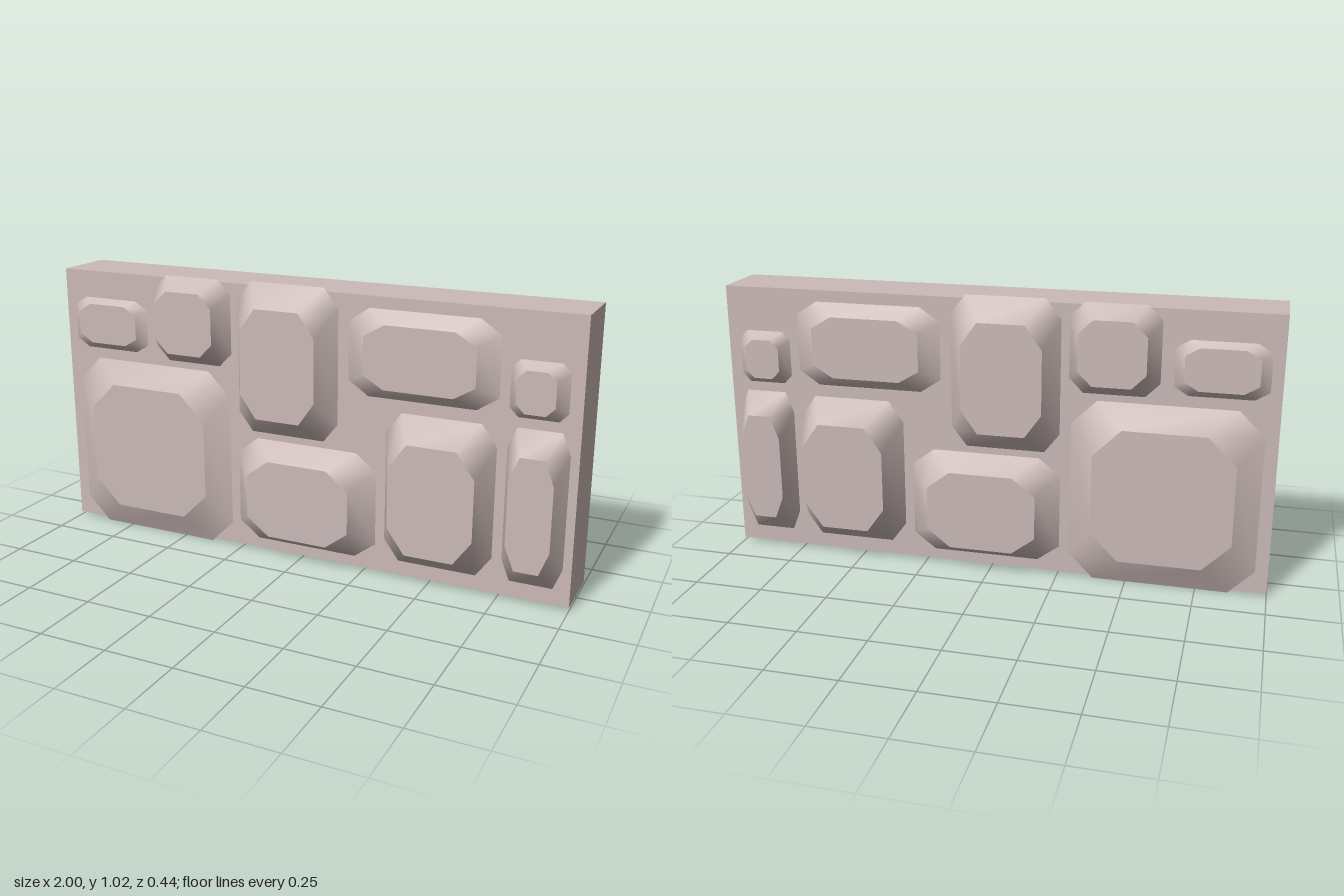
import * as THREE from 'three';

const FACE = 0.113; // half thickness of the slab

// Eight corners of a chamfered rectangle, anticlockwise from the front
function octagon([x0, x1, y0, y1, cx, cy]) {
  return [
    [x0 + cx, y0], [x1 - cx, y0], [x1, y0 + cy], [x1, y1 - cy],
    [x1 - cx, y1], [x0 + cx, y1], [x0, y1 - cy], [x0, y0 + cy],
  ];
}

// Sloped stone: smooth bevelled rim plus a flat cap
function makeStone(base, top, depth, material) {
  const outer = octagon(base), inner = octagon(top);
  const pos = [], index = [];
  outer.forEach(([x, y]) => pos.push(x, y, FACE));
  inner.forEach(([x, y]) => pos.push(x, y, depth));
  for (let i = 0; i < 8; i++) {
    const j = (i + 1) % 8;
    index.push(i, j, j + 8, i, j + 8, i + 8);
  }
  const rimGeo = new THREE.BufferGeometry();
  rimGeo.setAttribute('position', new THREE.Float32BufferAttribute(pos, 3));
  rimGeo.setIndex(index);
  rimGeo.computeVertexNormals();

  const shape = new THREE.Shape(inner.map(([x, y]) => new THREE.Vector2(x, y)));
  const capGeo = new THREE.ShapeGeometry(shape).translate(0, 0, depth);

  const stone = new THREE.Group();
  const rim = new THREE.Mesh(rimGeo, material);
  rim.name = 'stoneRim';
  const cap = new THREE.Mesh(capGeo, material);
  cap.name = 'stoneCap';
  stone.add(rim, cap);
  return stone;
}

// name, base and cap as [x0, x1, y0, y1, chamferX, chamferY], cap depth
const STONES = [
  ['smallLeftStone', [-0.96, -0.64, 0.715, 0.91, 0.05, 0.03], [-0.925, -0.675, 0.74, 0.89, 0.05, 0.03], 0.14],
  ['upperLeftStone', [-0.595, -0.28, 0.70, 1.02, 0.05, 0.05], [-0.555, -0.32, 0.745, 0.975, 0.05, 0.05], 0.187],
  ['upperMiddleStone', [-0.25, 0.145, 0.47, 1.025, 0.055, 0.07], [-0.20, 0.09, 0.545, 0.945, 0.06, 0.085], 0.195],
  ['upperRightStone', [0.185, 0.725, 0.66, 0.97, 0.075, 0.05], [0.255, 0.655, 0.70, 0.925, 0.075, 0.045], 0.155],
  ['smallRightStone', [0.76, 0.955, 0.655, 0.85, 0.03, 0.03], [0.79, 0.92, 0.68, 0.825, 0.03, 0.03], 0.155],
  ['largeStone', [-0.955, -0.29, 0, 0.675, 0.09, 0.09], [-0.87, -0.375, 0.10, 0.59, 0.10, 0.10], 0.167],
  ['lowerMiddleStone', [-0.255, 0.295, 0.05, 0.445, 0.08, 0.06], [-0.18, 0.22, 0.10, 0.39, 0.085, 0.065], 0.195],
  ['lowerRightStone', [0.33, 0.725, 0.065, 0.615, 0.055, 0.075], [0.38, 0.685, 0.14, 0.54, 0.065, 0.09], 0.22],
  ['tallRightStone', [0.76, 0.97, 0.07, 0.62, 0.03, 0.075], [0.79, 0.94, 0.145, 0.545, 0.033, 0.085], 0.193],
];

// Mirror a rectangle across x = 0, for the back
const flip = ([x0, x1, ...rest]) => [-x1, -x0, ...rest];

export function createModel() {
  const model = new THREE.Group();
  model.name = 'stoneWall';
  const material = new THREE.MeshStandardMaterial({ color: 0xcbbab7 });

  // Slab
  const slab = new THREE.Mesh(new THREE.BoxGeometry(2, 1, FACE * 2), material);
  slab.name = 'slab';
  slab.position.y = 0.512;
  model.add(slab);

  // Stones on the front, repeated in the same places on the back
  for (const [name, base, top, depth] of STONES) {
    const front = makeStone(base, top, depth, material);
    front.name = name + 'Front';
    const back = makeStone(flip(base), flip(top), depth, material);
    back.name = name + 'Back';
    back.rotation.y = Math.PI;
    model.add(front, back);
  }
  return model;
}
